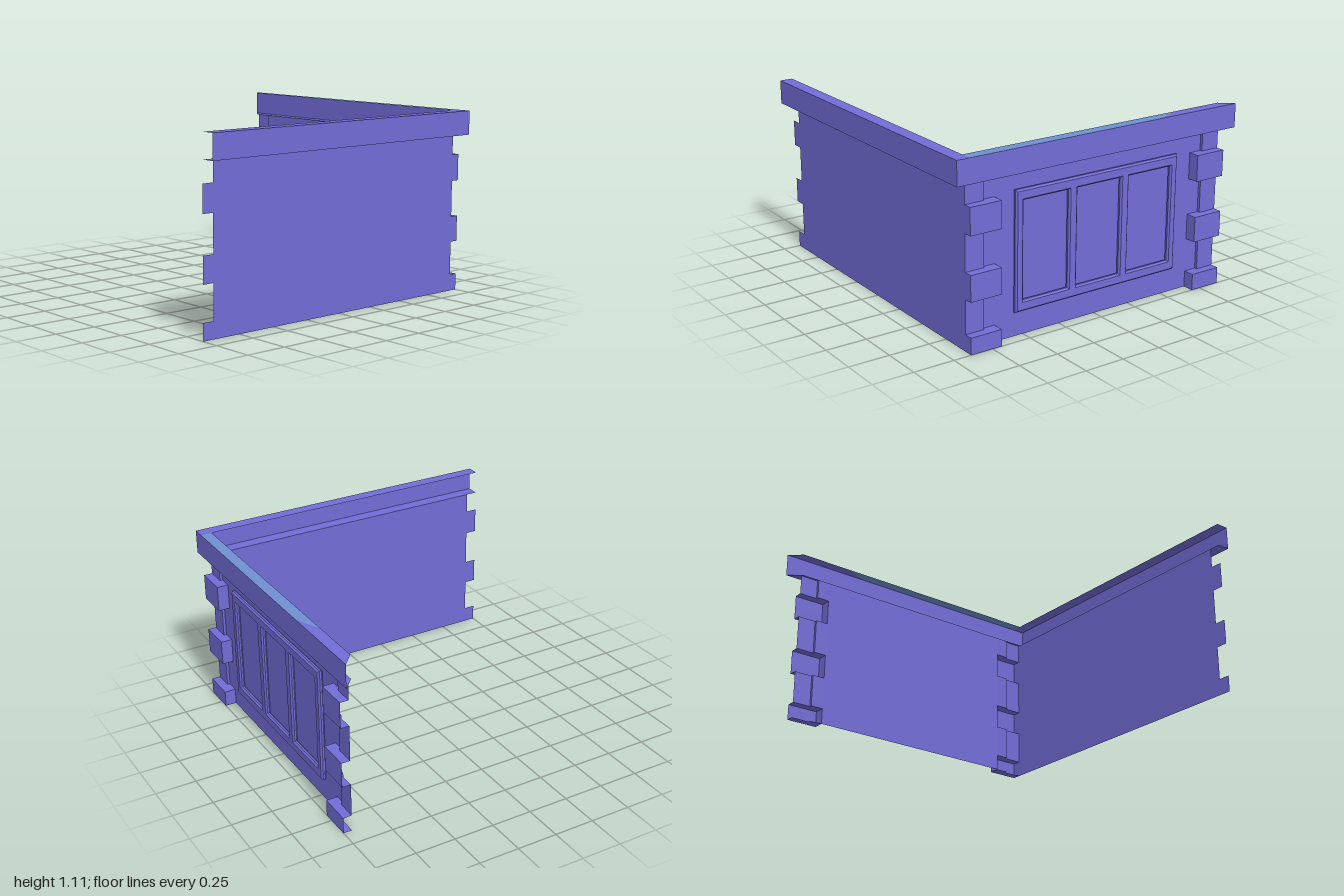
import * as THREE from 'three';

const wallMat = new THREE.MeshStandardMaterial({ color: 0x726cd6, side: THREE.DoubleSide });
wallMat.name = 'violet wall';
const capMat = new THREE.MeshStandardMaterial({ color: 0x7090d2, side: THREE.DoubleSide });
capMat.name = 'blue cap';

// Courses of corner stones, as bottom and top heights
const STONES = [[0, 0.1], [0.305, 0.46], [0.68, 0.84]];
const X = 0.89, TOP = 0.965, HIGH = 1.11;
const PANEL = -0.93, PILASTER = -0.947, OUT = -1;

// Open sheet made of four-cornered faces
function sheet(name, quads, mat = wallMat) {
  const pos = [];
  for (const [a, b, c, d] of quads) pos.push(...a, ...b, ...c, ...a, ...c, ...d);
  const g = new THREE.BufferGeometry();
  g.setAttribute('position', new THREE.Float32BufferAttribute(pos, 3));
  g.computeVertexNormals();
  const m = new THREE.Mesh(g, mat);
  m.name = name;
  return m;
}

// Faces seen from behind: rectangle in z, in x and in y
const faceZ = (x0, x1, y0, y1, z) => [[x1, y0, z], [x0, y0, z], [x0, y1, z], [x1, y1, z]];
const faceX = (x, y0, y1, z0, z1) => [[x, y0, z1], [x, y0, z0], [x, y1, z0], [x, y1, z1]];
const faceY = (x0, x1, y, z0, z1) => [[x0, y, z1], [x1, y, z1], [x1, y, z0], [x0, y, z0]];

function cornerRelief(s) {
  const pilaster = [], stones = [];
  let y = 0;
  for (const [y0, y1] of [...STONES, [TOP, TOP]]) {
    // Plain stretch below each stone
    if (y0 > y) {
      pilaster.push(
        faceZ(s * 0.69, s * 0.77, y, y0, PANEL),
        faceX(s * 0.77, y, y0, PILASTER, PANEL),
        faceZ(s * 0.77, s * X, y, y0, PILASTER));
    }
    // Hollow projecting stone
    if (y1 > y0) {
      stones.push(faceZ(s * 0.69, s * X, y0, y1, OUT), faceX(s * 0.69, y0, y1, OUT, PANEL));
      for (const h of [y0, y1]) {
        stones.push(
          faceY(s * 0.69, s * 0.77, h, OUT, PANEL),
          faceY(s * 0.77, s * X, h, OUT, PILASTER));
      }
    }
    y = y1;
  }
  const side = s > 0 ? 'left' : 'right';
  return [sheet(side + 'Pilaster', pilaster), sheet(side + 'CornerStones', stones)];
}

function windowFrame() {
  const rect = (P, x0, x1, y0, y1) => {
    const p = new P();
    p.moveTo(x0, y0);
    p.lineTo(x1, y0);
    p.lineTo(x1, y1);
    p.lineTo(x0, y1);
    p.closePath();
    return p;
  };
  const outline = rect(THREE.Shape, -0.56, 0.56, 0.16, 0.85);
  for (const c of [-0.365, 0, 0.365]) {
    outline.holes.push(rect(THREE.Path, c - 0.162, c + 0.162, 0.205, 0.805));
  }
  const g = new THREE.ExtrudeGeometry(outline, {
    depth: 0.012, bevelEnabled: true, bevelThickness: 0.01, bevelSize: 0.01, bevelSegments: 1,
  });
  g.translate(0, 0, -0.953);
  const m = new THREE.Mesh(g, wallMat);
  m.name = 'windowFrame';
  return m;
}

function cornice() {
  const group = new THREE.Group();
  group.name = 'cornice';
  const E = 0.97;
  // Upright outer bands
  group.add(sheet('backBand', [faceZ(-E, E, TOP, HIGH, OUT)]));
  group.add(sheet('sideBand', [[[E, TOP, 1], [E, TOP, -1], [E, HIGH, -1], [E, HIGH, 1]]]));
  // Flat flanges, with a mitred free end on the back
  const lower = [
    [[-X, TOP, PANEL], [-E, TOP, -1], [X, TOP, -1], [X, TOP, PANEL]],
    [[X, TOP, -1], [E, TOP, -1], [E, TOP, 1], [X, TOP, 1]],
  ];
  group.add(sheet('lowerFlange', lower));
  group.add(sheet('upperFlange', [
    [[-X, HIGH, PANEL], [-0.55, HIGH, PANEL], [-0.4, HIGH, -1], [-E, HIGH, -1]],
    [[X, HIGH, 1], [E, HIGH, 1], [E, HIGH, -1], [X, HIGH, -1]],
  ]));
  group.add(sheet('blueCap', [
    [[-0.55, HIGH, PANEL], [X, HIGH, PANEL], [X, HIGH, -1], [-0.4, HIGH, -1]],
  ], capMat));
  return group;
}

export function createModel() {
  const model = new THREE.Group();
  model.name = 'cornerWall';

  // Back wall
  model.add(sheet('backPanel', [faceZ(-0.69, 0.69, 0, TOP, PANEL)]));
  for (const s of [-1, 1]) model.add(...cornerRelief(s));
  model.add(windowFrame());

  // Side wall with stone ends as tabs on both edges
  const side = (y0, y1, z0, z1) => [[X, y0, z1], [X, y0, z0], [X, y1, z0], [X, y1, z1]];
  const quads = [side(0, TOP, PILASTER, 0.93)];
  for (const [y0, y1] of STONES) quads.push(side(y0, y1, -1, PILASTER), side(y0, y1, 0.93, 1));
  model.add(sheet('sideWall', quads));

  model.add(cornice());
  return model;
}
